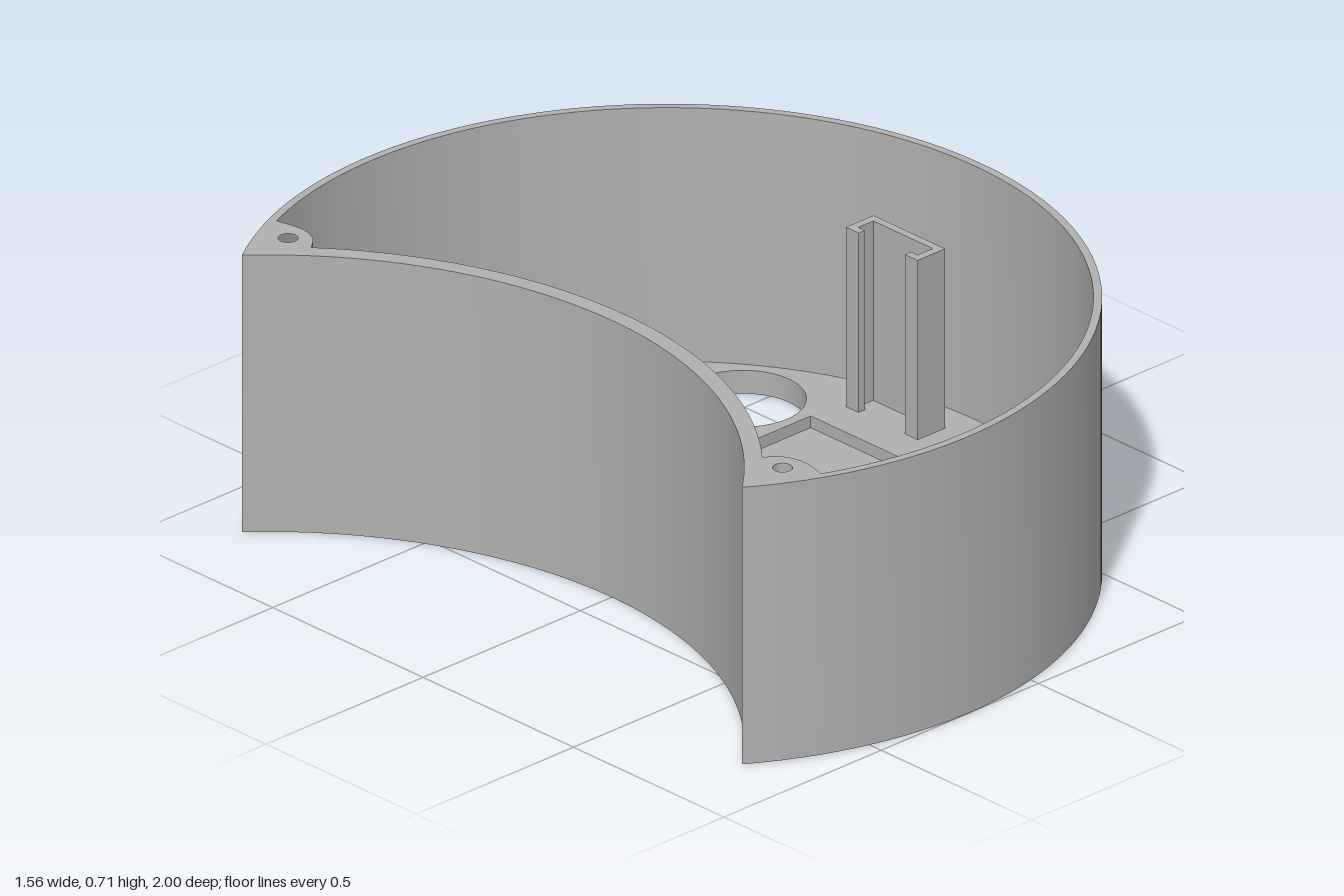
import * as THREE from 'three';
import { toCreasedNormals } from 'three/addons/utils/BufferGeometryUtils.js';

const OUTER_X = -0.225, CUT_X = -1.497;   // centres of the two circles
const HEIGHT = 0.71, FLOOR = 0.06, POCKET = 0.03, CLIP_TOP = 0.52;

// Plan shapes are drawn as (x, -z) and extruded upwards
function crescent(rOuter, rCut) {
  const d = OUTER_X - CUT_X;
  const a = (d * d + rOuter * rOuter - rCut * rCut) / (2 * d);
  const tipX = OUTER_X - a, tipY = Math.sqrt(rOuter * rOuter - a * a);
  const angOuter = Math.atan2(tipY, tipX - OUTER_X);
  const angCut = Math.atan2(tipY, tipX - CUT_X);
  const s = new THREE.Shape();
  s.absarc(OUTER_X, 0, rOuter, -angOuter, angOuter, false);
  s.absarc(CUT_X, 0, rCut, angCut, -angCut, true);
  return { shape: s, tipX, tipY, angOuter, angCut };
}

function circleHole(x, z, r) {
  const p = new THREE.Path();
  p.absarc(x, -z, r, 0, Math.PI * 2, true);
  return p;
}

function polygon(points, Type = THREE.Shape) {
  return new Type(points.map(([x, z]) => new THREE.Vector2(x, -z)));
}

export function createModel() {
  const group = new THREE.Group();
  const grey = new THREE.MeshStandardMaterial({ color: 0xb0b0b0 });
  grey.name = 'grey plastic';

  function slab(name, shape, y0, y1, segments = 72) {
    let geo = new THREE.ExtrudeGeometry(shape, {
      depth: y1 - y0, bevelEnabled: false, curveSegments: segments,
    });
    geo.rotateX(-Math.PI / 2);
    geo.translate(0, y0, 0);
    geo = toCreasedNormals(geo, Math.PI / 6);
    const mesh = new THREE.Mesh(geo, grey);
    mesh.name = name;
    group.add(mesh);
  }

  // Floor: lower layer with through holes, upper layer also with pockets
  const holes = [
    [0.445, -0.448, 0.146], [-0.444, 0.796, 0.122], [0.118, 0.775, 0.1],
    [-0.362, -0.868, 0.016], [0.063, -0.839, 0.016],
    [-0.138, -0.392, 0.016], [0.259, -0.362, 0.016],
    [-0.643, -0.822, 0.023], [-0.643, 0.822, 0.023],
  ];
  const pockets = [
    [[-0.315, -0.275], [0.495, -0.275], [0.495, 0.64], [-0.315, 0.64]],
    [[-0.299, -0.929], [0.336, -0.696], [0.198, -0.312], [-0.439, -0.545]],
  ];
  const lower = crescent(1, 1.097).shape;
  const upper = crescent(1, 1.097).shape;
  for (const h of holes) {
    lower.holes.push(circleHole(...h));
    upper.holes.push(circleHole(...h));
  }
  for (const p of pockets) upper.holes.push(polygon(p, THREE.Path));
  slab('floorBase', lower, 0, FLOOR - POCKET);
  slab('floorWithPockets', upper, FLOOR - POCKET, FLOOR);

  // Crescent wall
  const inner = crescent(0.98, 1.14);
  const wall = crescent(1, 1.097).shape;
  wall.holes.push(inner.shape);
  slab('wall', wall, FLOOR, HEIGHT);

  // Screw tabs filling the two tips at the rim
  for (const side of [1, -1]) {
    const pts = [];
    const N = 8;
    const endOuter = Math.PI - Math.asin(0.905 / 0.98);
    const endCut = Math.asin(0.75 / 1.14);
    for (let i = 0; i <= N; i++) {
      const a = THREE.MathUtils.lerp(inner.angOuter, endOuter, i / N);
      pts.push([OUTER_X + 0.98 * Math.cos(a), side * 0.98 * Math.sin(a)]);
    }
    const start = pts[N];
    const end = [CUT_X + 1.14 * Math.cos(endCut), side * 0.75];
    const curve = new THREE.CatmullRomCurve3(
      [start, [-0.59, side * 0.86], [-0.588, side * 0.82], [-0.604, side * 0.78], end]
        .map(([x, z]) => new THREE.Vector3(x, 0, z)));
    curve.getPoints(16).slice(1).forEach((v) => pts.push([v.x, v.z]));
    for (let i = 1; i < N; i++) {
      const a = THREE.MathUtils.lerp(endCut, inner.angCut, i / N);
      pts.push([CUT_X + 1.14 * Math.cos(a), side * 1.14 * Math.sin(a)]);
    }
    const tab = polygon(pts);
    tab.holes.push(circleHole(-0.643, side * 0.822, 0.023));
    slab(side > 0 ? 'frontScrewTab' : 'backScrewTab', tab, HEIGHT - 0.05, HEIGHT, 24);
  }

  // C-shaped board clips: u runs along the clip, v from the open side to the back
  function clip(name, length, depth, place) {
    const t = 0.02, lip = 0.042;
    const outline = [
      [0, 0], [lip, 0], [lip, t], [t, t], [t, depth - t], [length - t, depth - t],
      [length - t, t], [length - lip, t], [length - lip, 0], [length, 0],
      [length, depth], [0, depth],
    ];
    slab(name, polygon(outline.map(place)), FLOOR, CLIP_TOP);
  }
  clip('sideClip', 0.238, 0.088, ([u, v]) => [0.587 + v, -0.254 + u]);
  clip('frontClip', 0.217, 0.108, ([u, v]) => [-0.288 + u, 0.733 + v]);

  return group;
}
